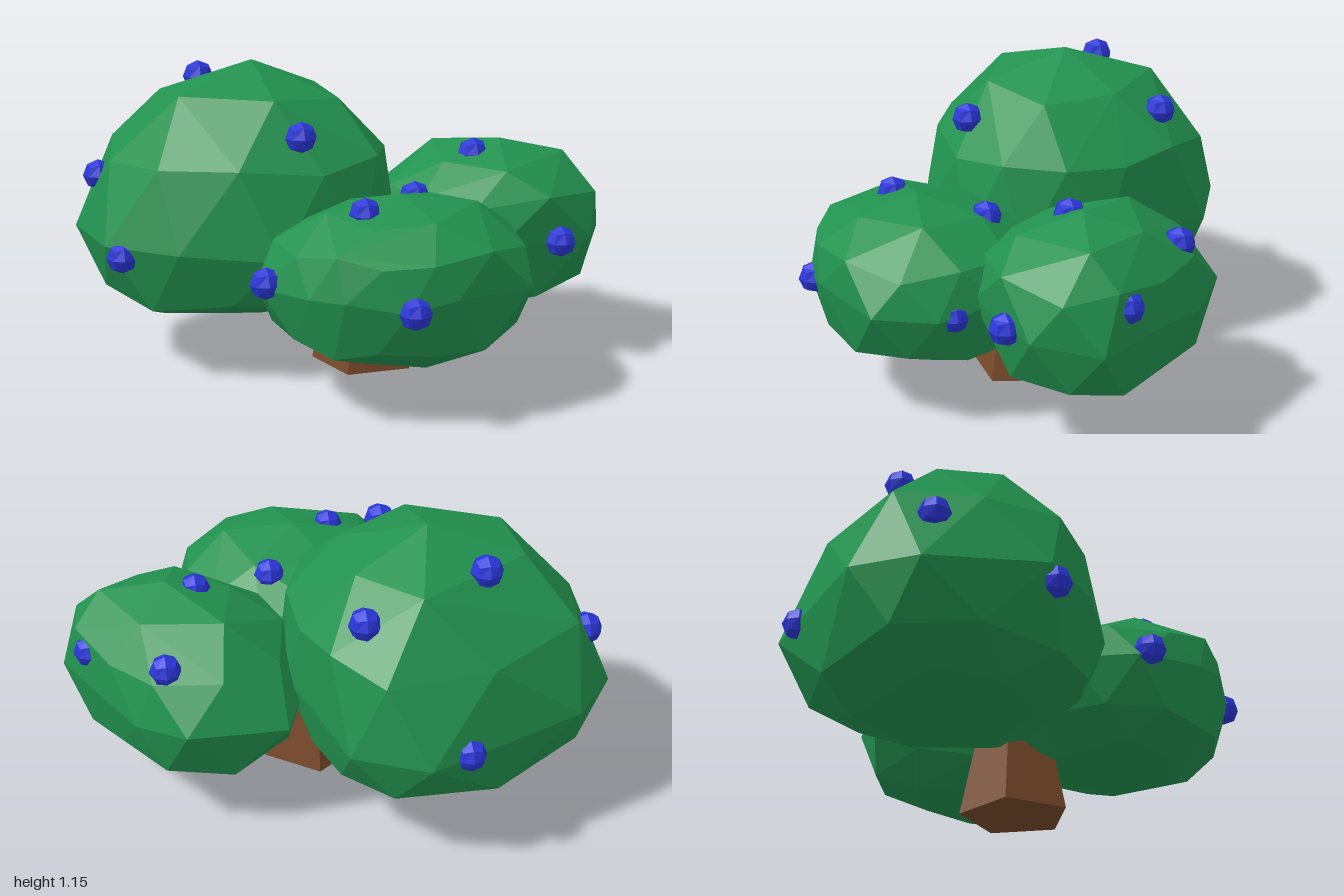
import * as THREE from 'three';
import { ConvexGeometry } from 'three/addons/geometries/ConvexGeometry.js';

const flat = (color) => new THREE.MeshStandardMaterial({ color, flatShading: true });
const leafMat = flat(0x22924f), barkMat = flat(0x7a4a2b), berryMat = flat(0x2a35d8);

// Faceted leaf clump: staggered rings of one plan outline, wrapped in a convex skin
function leafClump(name, { outline, centre, waist, apex, low }) {
  const [cx, cz] = centre;
  const top = apex[1];
  const points = [new THREE.Vector3(...apex), new THREE.Vector3(cx, low, cz)];
  const ring = (y, scale, stagger, step = 1) => {
    const lift = Math.max(0, (y - waist) / (top - waist)); // lean towards the apex
    const ox = cx + (apex[0] - cx) * lift, oz = cz + (apex[2] - cz) * lift;
    for (let i = 0; i < outline.length; i += step) {
      const a = outline[i], b = outline[(i + 1) % outline.length];
      const px = stagger ? (a[0] + b[0]) / 2 : a[0];
      const pz = stagger ? (a[1] + b[1]) / 2 : a[1];
      const k = scale * (stagger ? 1.03 : 1);
      const wave = 0.02 * Math.sin(i * 2.3 + y * 9);
      points.push(new THREE.Vector3(ox + (px - cx) * k, y + wave, oz + (pz - cz) * k));
    }
  };
  const up = top - waist, down = waist - low;
  ring(waist, 1, false);
  ring(waist + up * 0.47, 0.89, true);
  ring(waist + up * 0.82, 0.55, false, 2);
  ring(waist - down * 0.66, 0.88, true);
  ring(low + 0.02, 0.55, false, 2);
  const mesh = new THREE.Mesh(new ConvexGeometry(points), leafMat);
  mesh.name = name;
  return mesh;
}

// Small ball made from a subdivided cube
function berryGeometry(radius) {
  const geo = new THREE.BoxGeometry(1, 1, 1, 2, 2, 2);
  const pos = geo.attributes.position, v = new THREE.Vector3();
  for (let i = 0; i < pos.count; i++) {
    v.fromBufferAttribute(pos, i).setLength(radius);
    pos.setXYZ(i, v.x, v.y, v.z);
  }
  geo.computeVertexNormals();
  return geo;
}

export function createModel() {
  const model = new THREE.Group();
  model.name = 'berryTree';

  // Tapered five-sided trunk
  const trunk = new THREE.Mesh(new THREE.CylinderGeometry(0.135, 0.21, 0.36, 5, 1, false, Math.PI), barkMat);
  trunk.position.set(0.05, 0.18, 0.02);
  trunk.name = 'trunk';
  model.add(trunk);

  // Three leaf clumps, outlines given as x, z
  model.add(leafClump('largeLeafClump', {
    outline: [[-1, -0.44], [-0.82, -0.67], [-0.22, -0.89], [0.04, -0.74], [0.13, -0.47],
      [0.19, -0.26], [0.16, 0.06], [-0.02, 0.22], [-0.36, 0.3], [-0.71, 0.18], [-0.95, 0]],
    centre: [-0.4, -0.29], waist: 0.52, apex: [-0.32, 1.15, -0.28], low: 0.19,
  }));
  model.add(leafClump('frontLeafClump', {
    outline: [[-0.47, 0.4], [-0.35, 0.65], [-0.25, 0.75], [-0.05, 0.83], [0.13, 0.83],
      [0.45, 0.72], [0.53, 0.5], [0.5, 0.25], [0.37, 0.05], [0.12, -0.07], [-0.18, -0.03], [-0.4, 0.14]],
    centre: [0.03, 0.39], waist: 0.47, apex: [0.05, 0.77, 0.44], low: 0.175,
  }));
  model.add(leafClump('sideLeafClump', {
    outline: [[1, 0.06], [0.87, 0.28], [0.46, 0.35], [0.24, 0.21], [0.12, 0], [0.1, -0.22],
      [0.22, -0.51], [0.59, -0.54], [0.76, -0.39], [0.9, -0.15]],
    centre: [0.54, -0.09], waist: 0.49, apex: [0.6, 0.84, -0.01], low: 0.19,
  }));

  // Berries dotted over the clumps
  const berryGeo = berryGeometry(0.06);
  const spots = [
    [-0.37, 0.53, -0.82], [-0.49, 1.06, -0.48], [-0.04, 0.95, -0.57], [-0.91, 0.71, -0.39],
    [-0.89, 0.49, 0.02], [-0.24, 0.93, 0.15], [0.18, 0.69, 0.21], [-0.1, 0.72, 0.49],
    [-0.45, 0.48, 0.44], [-0.02, 0.45, 0.82], [0.48, 0.45, 0.43], [0.64, 0.69, -0.36],
    [0.49, 0.79, 0], [0.9, 0.6, -0.06], [0.73, 0.5, 0.32],
  ];
  const berries = new THREE.Group();
  berries.name = 'berries';
  spots.forEach((p) => {
    const berry = new THREE.Mesh(berryGeo, berryMat);
    berry.position.set(...p);
    berry.name = 'berry';
    berries.add(berry);
  });
  model.add(berries);
  return model;
}
